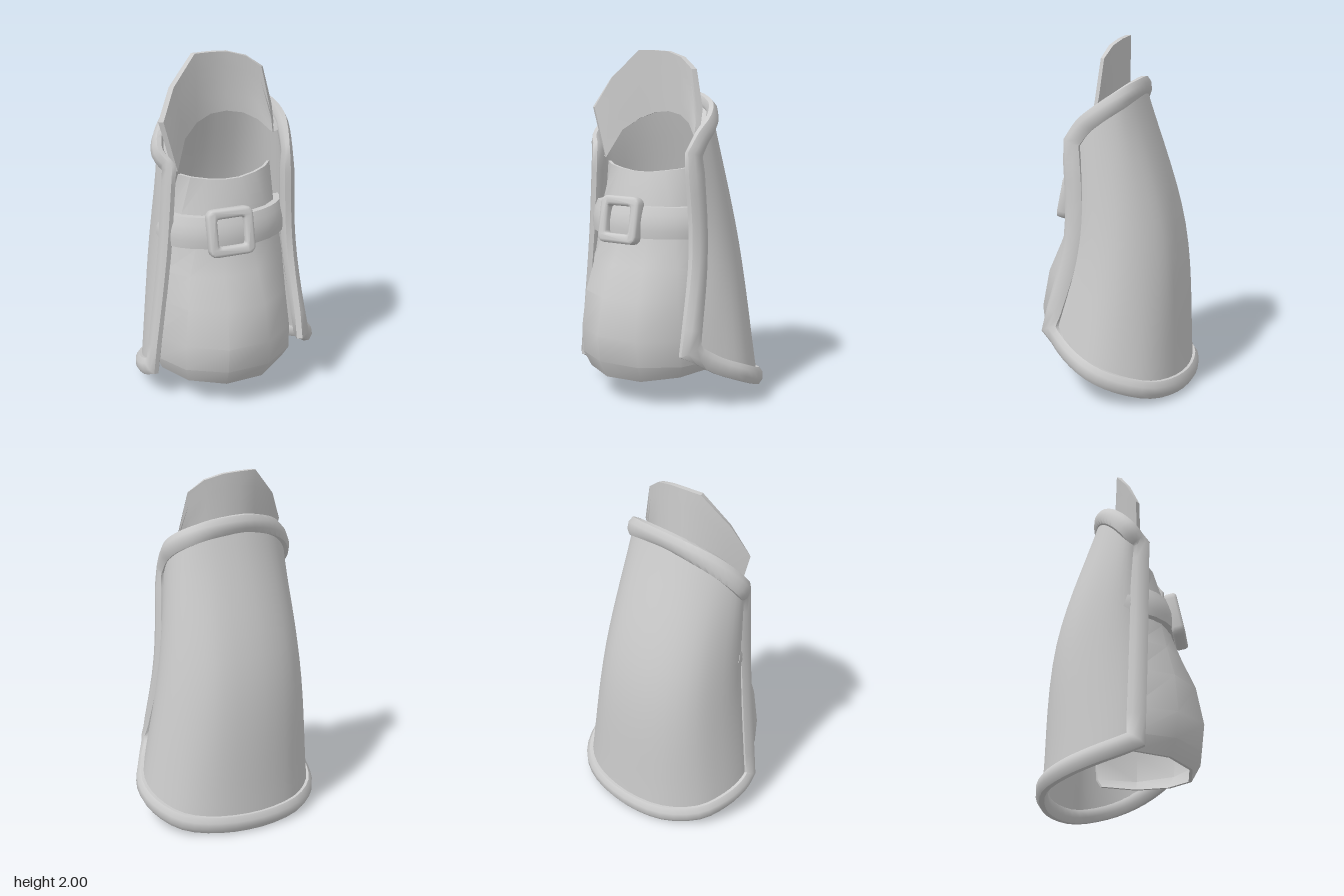
import * as THREE from 'three';
import { toCreasedNormals } from 'three/addons/utils/BufferGeometryUtils.js';

const V = (x, y, z) => new THREE.Vector3(x, y, z);
const curve = (pts) => new THREE.CatmullRomCurve3(pts.map((p) => V(...p)), false, 'catmullrom', 0.5);
// direction away from a vertical axis at depth axisZ
const radial = (p, axisZ = 0.06) => V(p.x + 0.08, 0, p.z - axisZ).normalize();

function toGeometry(points, index, crease) {
  const g = new THREE.BufferGeometry();
  g.setAttribute('position', new THREE.Float32BufferAttribute(points.flatMap((p) => [p.x, p.y, p.z]), 3));
  g.setIndex(index);
  return toCreasedNormals(g, crease);
}

// Curved sheet f(u, v) with a thickness t towards the axis
function slab(f, nu, nv, t, axisZ) {
  const outer = [];
  for (let j = 0; j <= nv; j++) for (let i = 0; i <= nu; i++) outer.push(f(i / nu, j / nv));
  const inner = outer.map((p) => p.clone().addScaledVector(radial(p, axisZ), -t));
  const n = outer.length, w = nu + 1, index = [], rim = [];
  for (let j = 0; j < nv; j++) {
    for (let i = 0; i < nu; i++) {
      const a = j * w + i, b = a + 1, c = a + w, d = c + 1;
      index.push(a, b, d, a, d, c, a + n, d + n, b + n, a + n, c + n, d + n);
    }
  }
  for (let i = 0; i < nu; i++) rim.push(i);
  for (let j = 0; j < nv; j++) rim.push(j * w + nu);
  for (let i = nu; i > 0; i--) rim.push(nv * w + i);
  for (let j = nv; j > 0; j--) rim.push(j * w);
  rim.forEach((p, k) => {
    const q = rim[(k + 1) % rim.length];
    index.push(q, p, p + n, q, p + n, q + n);
  });
  return toGeometry([...outer, ...inner], index, 0.66);
}

// Flattened band swept round a closed loop of { p, width, depth }, mitred at corners
function band(path, sides = 8) {
  const pts = [], index = [], n = path.length;
  path.forEach(({ p, width, depth }, i) => {
    const next = path[(i + 1) % n].p.clone().sub(p).normalize();
    const last = p.clone().sub(path[(i + n - 1) % n].p).normalize();
    const t = next.clone().add(last).normalize();
    const mitre = Math.min(1 / next.dot(t), 1.4);
    const r = radial(p);
    const normal = r.addScaledVector(t, -r.dot(t)).normalize();
    const across = t.clone().cross(normal);
    for (let k = 0; k < sides; k++) {
      const a = ((k + 0.5) / sides) * Math.PI * 2;
      pts.push(p.clone().addScaledVector(normal, Math.cos(a) * depth)
        .addScaledVector(across, Math.sin(a) * width * mitre));
      const k2 = (k + 1) % sides, i2 = (i + 1) % n;
      const A = i * sides + k, B = i2 * sides + k, C = i * sides + k2, D = i2 * sides + k2;
      index.push(A, D, B, A, C, D);
    }
  });
  return toGeometry(pts, index, 0.9);
}

export function createModel() {
  const group = new THREE.Group();
  const material = new THREE.MeshStandardMaterial({ color: 0xcccccc, side: THREE.DoubleSide });
  const add = (name, geometry) => {
    const m = new THREE.Mesh(geometry, material);
    m.name = name;
    group.add(m);
    return m;
  };

  // Back shell: three levels, each from the +x front edge round the back to -x
  const hem = curve([
    [0.325, 0.36, 0.33], [0.43, 0.26, 0.2], [0.515, 0.19, 0.05], [0.515, 0.13, -0.11],
    [0.43, 0.08, -0.28], [0.25, 0.06, -0.39], [0, 0.05, -0.43], [-0.25, 0.06, -0.4],
    [-0.43, 0.08, -0.28], [-0.51, 0.12, -0.13], [-0.535, 0.16, 0], [-0.525, 0.2, 0.09],
  ]);
  const middle = curve([
    [0.3, 0.9, 0.195], [0.37, 0.9, 0.1], [0.4, 0.9, 0], [0.39, 0.9, -0.12],
    [0.32, 0.9, -0.24], [0.19, 0.9, -0.335], [-0.04, 0.9, -0.375], [-0.24, 0.9, -0.345],
    [-0.38, 0.9, -0.25], [-0.45, 0.9, -0.1], [-0.465, 0.9, 0.02], [-0.445, 0.9, 0.11],
  ]);
  const collar = curve([
    [0.275, 1.44, 0.205], [0.29, 1.53, 0.14], [0.3, 1.59, 0.07], [0.28, 1.64, 0],
    [0.23, 1.68, -0.06], [0.12, 1.715, -0.105], [-0.06, 1.73, -0.13], [-0.22, 1.7, -0.11],
    [-0.34, 1.64, -0.06], [-0.42, 1.56, 0], [-0.45, 1.48, 0.06], [-0.41, 1.41, 0.12],
  ]);
  const shell = (u, v) => new THREE.CatmullRomCurve3(
    [hem, middle, collar].map((c) => c.getPoint(u))).getPoint(v);
  add('backShell', slab(shell, 33, 14, 0.025));

  // Raised border round all four edges of the shell, heavier down the front edges
  const path = [];
  const along = (n, width, depth, f) => {
    for (let i = 0; i < n; i++) path.push({ p: f(i / n), width, depth });
  };
  along(10, 0.062, 0.044, (s) => shell(0, s));
  along(33, 0.055, 0.034, (s) => shell(s, 1));
  along(10, 0.055, 0.036, (s) => shell(1, 1 - s));
  along(33, 0.053, 0.036, (s) => shell(1 - s, 0));
  add('shellBorder', band(path));

  // Front cover: y, left and right extent in x, front z, degrees it wraps past the sides
  const rows = [
    [0.145, -0.46, 0.31, 0.405, 30], [0.25, -0.5, 0.35, 0.46, 30], [0.4, -0.5, 0.345, 0.478, 30],
    [0.62, -0.485, 0.33, 0.435, 25], [0.8, -0.46, 0.31, 0.355, 18], [0.95, -0.425, 0.29, 0.3, 8],
    [1.15, -0.395, 0.26, 0.265, -5], [1.33, -0.37, 0.235, 0.212, -20],
  ];
  const coverAt = (u, y) => {
    let k = 0;
    while (k < rows.length - 2 && y > rows[k + 1][0]) k++;
    const s = (y - rows[k][0]) / (rows[k + 1][0] - rows[k][0]);
    const [, x0, x1, zf, wrap] = rows[k].map((a, i) => THREE.MathUtils.lerp(a, rows[k + 1][i], s));
    const a = THREE.MathUtils.degToRad((180 + wrap) * (1 - u) - wrap * u);
    return V((x0 + x1) / 2 + ((x1 - x0) / 2) * Math.cos(a), y, 0.05 + (zf - 0.05) * Math.sin(a));
  };
  const cover = (u, v) => {
    const k = Math.round(v * 7);
    const p = coverAt(u, rows[k][0]);
    if (k === 7) p.y += 0.04 * Math.abs(2 * u - 1) - 0.01;
    if (k === 0) p.y += 0.03 * Math.abs(2 * u - 1) + 0.08 * Math.max(0, p.x);
    return p;
  };
  add('frontCover', slab(cover, 7, 7, 0.018));

  // Strap wrapped over the cover
  const strap = (u, v) => {
    const p = coverAt(u, 0.965 + 0.175 * v);
    const bulge = 0.035 + 0.015 * Math.sin(Math.PI * v);
    return p.addScaledVector(radial(p), bulge);
  };
  add('strap', slab(strap, 14, 4, 0.04));

  // Square buckle
  const square = (shape, h, r) => {
    shape.moveTo(-h + r, -h);
    [[1, -1], [1, 1], [-1, 1], [-1, -1]].forEach(([x, y], i) => {
      const [ax, ay] = i % 2 ? [x * h, y * (h - r)] : [x * (h - r), y * h];
      const [bx, by] = i % 2 ? [x * (h - r), y * h] : [x * h, y * (h - r)];
      shape.lineTo(ax, ay);
      shape.quadraticCurveTo(x * h, y * h, bx, by);
    });
    return shape;
  };
  const frame = square(new THREE.Shape(), 0.118, 0.03);
  frame.holes.push(square(new THREE.Path(), 0.095, 0.03));
  const buckle = add('buckle', toCreasedNormals(new THREE.ExtrudeGeometry(frame, {
    depth: 0.04, bevelThickness: 0.016, bevelSize: 0.016, bevelSegments: 2, curveSegments: 3,
  }), 0.8));
  buckle.position.set(-0.13, 1.055, 0.3);
  buckle.rotation.set(-0.2, -0.1, 0);

  // Upright flap above the collar: upper and lower outline from +x to -x
  const upper = [
    [0.25, 1.68, 0.06], [0.2, 1.9, 0.04], [0.11, 1.965, 0.01], [0, 1.995, -0.02],
    [-0.1, 2, -0.025], [-0.21, 2, -0.02], [-0.37, 1.84, 0.04], [-0.46, 1.67, 0.1],
  ];
  const lower = [
    [0.25, 1.53, 0.1], [0.18, 1.6, 0.04], [0.1, 1.64, 0], [0, 1.655, -0.03],
    [-0.1, 1.645, -0.04], [-0.2, 1.61, -0.02], [-0.3, 1.54, 0.03], [-0.38, 1.38, 0.1],
  ];
  const flap = (u, v) => {
    const k = Math.round(u * 7);
    return V(...lower[k]).lerp(V(...upper[k]), v);
  };
  add('upperFlap', slab(flap, 7, 4, 0.03, 0.4));

  // Ledge joining the foot of the flap to the collar
  const ledge = (u, v) => collar.getPoint(0.12 + 0.86 * u).lerp(flap(u, 0), v);
  add('flapLedge', slab(ledge, 7, 1, 0.012, 0.4));

  return group;
}
